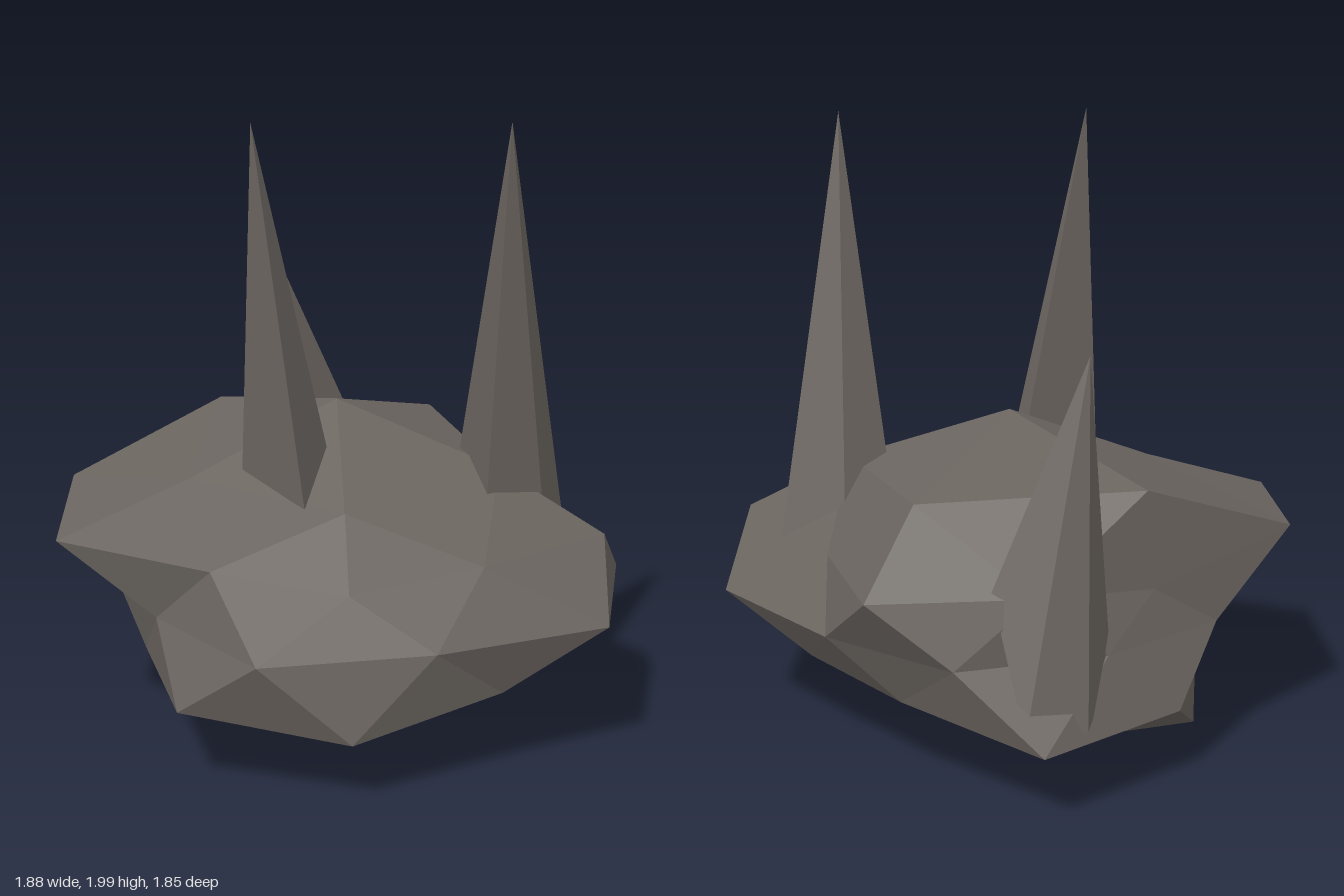
import * as THREE from 'three';
import { ConvexGeometry } from 'three/addons/geometries/ConvexGeometry.js';

const CENTRE = new THREE.Vector3(-0.02, 0.46, -0.01);
const FLATTEN = 0.45;

// Rings of a 42-point icosphere: height, first angle (degrees), radial factor of each point
const RINGS = [
  [1, 0, [1.31]],
  [0.851, 0, [1.03, 0.9, 0.97, 1.21, 1.13]],
  [0.526, 36, [0.85, 0.84, 1.085, 0.88, 0.75]],
  [0.447, 0, [0.995, 0.8, 1.065, 0.75, 0.985]],
  [0, 18, [1.01, 0.845, 0.93, 0.73, 0.735, 0.757, 0.74, 0.83, 0.775, 0.936]],
  [-0.447, 36, [0.912, 1.0, 0.7, 1.08, 0.78]],
  [-0.526, 0, [0.72, 1.055, 0.78, 0.93, 0.8]],
  [-0.851, 36, [0.77, 0.92, 1.19, 0.97, 0.6]],
  [-1, 0, [0.82]],
];

// Boulder: an icosphere pushed in and out along its radii, then flattened
function boulderGeometry() {
  const directions = [], factors = [];
  for (const [y, start, radii] of RINGS) {
    radii.forEach((factor, i) => {
      const angle = THREE.MathUtils.degToRad(start + (360 / radii.length) * i);
      const r = Math.sqrt(Math.max(0, 1 - y * y));
      directions.push(new THREE.Vector3(r * Math.cos(angle), y, r * Math.sin(angle)));
      factors.push(factor);
    });
  }
  const geometry = new ConvexGeometry(directions);
  const position = geometry.attributes.position;
  const v = new THREE.Vector3();
  for (let i = 0; i < position.count; i++) {
    v.fromBufferAttribute(position, i);
    let nearest = 0;
    directions.forEach((d, j) => {
      if (d.distanceToSquared(v) < directions[nearest].distanceToSquared(v)) nearest = j;
    });
    v.multiplyScalar(factors[nearest]);
    v.y *= FLATTEN;
    v.add(CENTRE);
    position.setXYZ(i, v.x, v.y, v.z);
  }
  geometry.computeVertexNormals();
  return geometry;
}

// Spike: a leaning pyramid whose edges run from the tip through the corners into the rock
function spikeGeometry(tip, corners) {
  const apex = new THREE.Vector3(...tip);
  const feet = corners.map((c) => apex.clone().lerp(new THREE.Vector3(...c), 1.1));
  const points = [];
  feet.forEach((foot, i) => points.push(apex, foot, feet[(i + 1) % feet.length]));
  const geometry = new THREE.BufferGeometry().setFromPoints(points);
  geometry.computeVertexNormals();
  return geometry;
}

// Corners run counter-clockwise seen from above
const SPIKES = [
  ['frontSpike', [-0.21, 1.99, 0.3],
    [[-0.26, 0.88, 0.26], [-0.01, 0.81, 0.42], [0, 0.93, 0.18], [-0.06, 0.98, 0.1]]],
  ['sideSpike', [0.56, 1.99, 0.07],
    [[0.38, 0.9, -0.07], [0.51, 0.79, 0.12], [0.66, 0.79, -0.02], [0.7, 0.62, -0.22], [0.49, 0.86, -0.19]]],
  ['backSpike', [-0.38, 1.39, -0.56],
    [[-0.45, 0.5, -0.58], [-0.25, 0.88, -0.52], [-0.14, 0.75, -0.72], [-0.26, 0.37, -0.84], [-0.42, 0.38, -0.76]]],
];

export function createModel() {
  const group = new THREE.Group();
  group.name = 'spikedRock';
  const stone = new THREE.MeshStandardMaterial({
    color: 0x6a645f, flatShading: true, side: THREE.DoubleSide,
  });
  const add = (name, geometry) => {
    const mesh = new THREE.Mesh(geometry, stone);
    mesh.name = name;
    group.add(mesh);
  };
  add('boulder', boulderGeometry());
  for (const [name, tip, corners] of SPIKES) add(name, spikeGeometry(tip, corners));
  return group;
}
